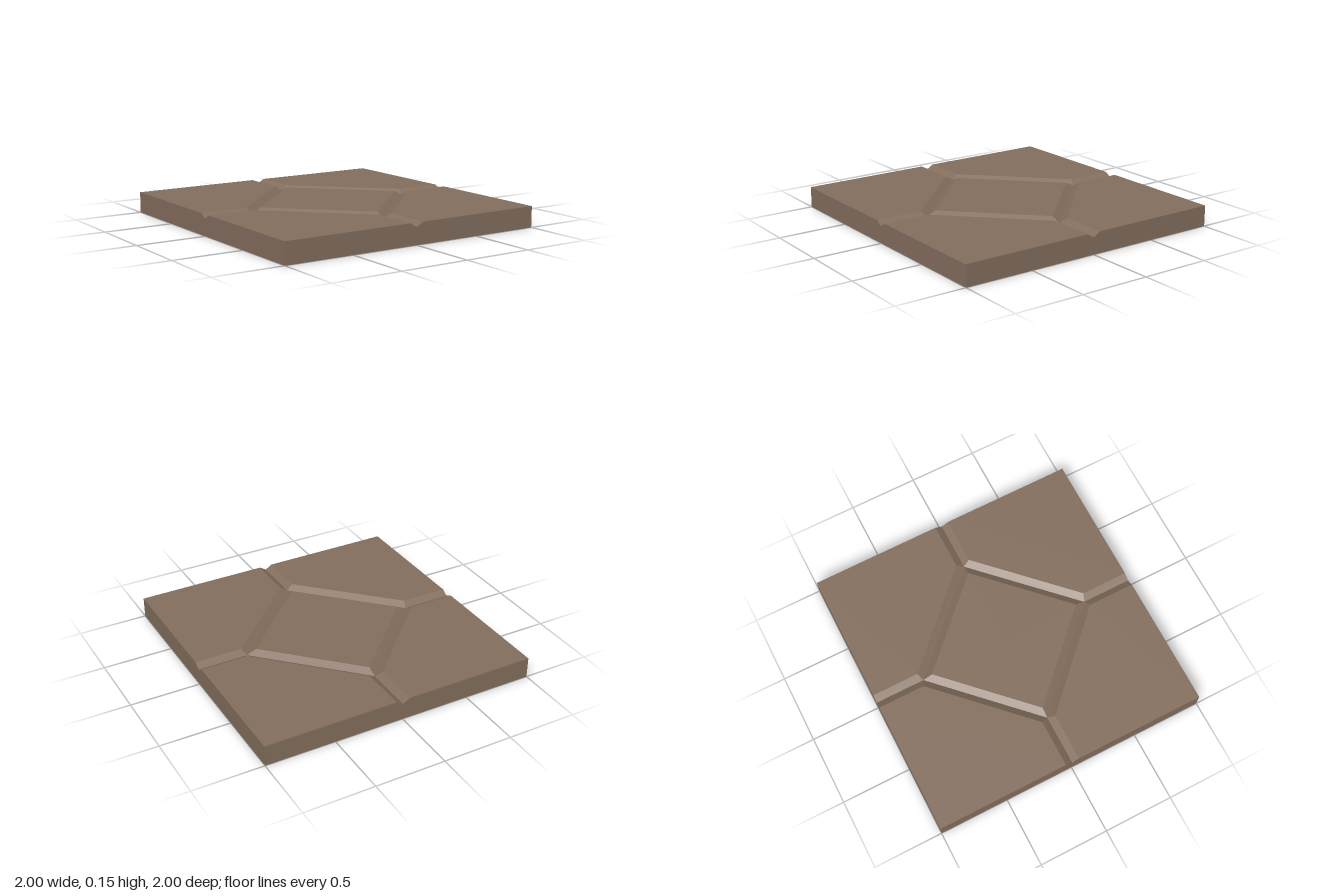
import * as THREE from 'three';

const TOP = 0.15, LOW = 0.12;  // surface and groove-bottom heights
const G = 0.05;                // groove half width
const MID = 0.64;              // diamond groove centre line
const IN = 0.57, OUT = 0.66;   // inner diamond corner, outer slab corner

// Faces of one quadrant as convex [x, y, z] loops
const swap = (loop) => loop.map(([x, y, z]) => [z, y, x]).reverse();
const lane = [[0, LOW, 1], [G, TOP, 1], [G, TOP, OUT], [0, LOW, MID]];
const wall = [[0, 0, 1], [1, 0, 1], [1, TOP, 1], [G, TOP, 1], [0, LOW, 1]];
const parts = {
  centreSlab: [[[0, TOP, 0], [0, TOP, IN], [IN, TOP, 0]]],
  cornerSlabs: [[[G, TOP, 1], [1, TOP, 1], [1, TOP, G], [OUT, TOP, G], [G, TOP, OUT]]],
  grooves: [
    lane, swap(lane),
    [[0, LOW, MID], [G, TOP, OUT], [OUT, TOP, G], [MID, LOW, 0]],
    [[0, TOP, IN], [0, LOW, MID], [MID, LOW, 0], [IN, TOP, 0]],
  ],
  sideWalls: [wall, swap(wall)],
};

// Mirror the loops into all four quadrants and fan them into flat triangles
function mirrored(loops) {
  const pos = [];
  for (const sx of [1, -1]) for (const sz of [1, -1]) {
    for (const loop of loops) {
      const p = loop.map(([x, y, z]) => [x * sx, y, z * sz]);
      if (sx * sz < 0) p.reverse();
      for (let i = 1; i < p.length - 1; i++) pos.push(...p[0], ...p[i], ...p[i + 1]);
    }
  }
  const geo = new THREE.BufferGeometry();
  geo.setAttribute('position', new THREE.Float32BufferAttribute(pos, 3));
  geo.computeVertexNormals();
  return geo;
}

export function createModel() {
  const group = new THREE.Group();
  group.name = 'floorTile';
  // The tile is a thin shell, open underneath
  const stone = new THREE.MeshStandardMaterial({ color: 0x846f5e, side: THREE.DoubleSide });
  stone.name = 'brown stone';
  for (const [name, loops] of Object.entries(parts)) {
    const mesh = new THREE.Mesh(mirrored(loops), stone);
    mesh.name = name;
    group.add(mesh);
  }
  return group;
}
